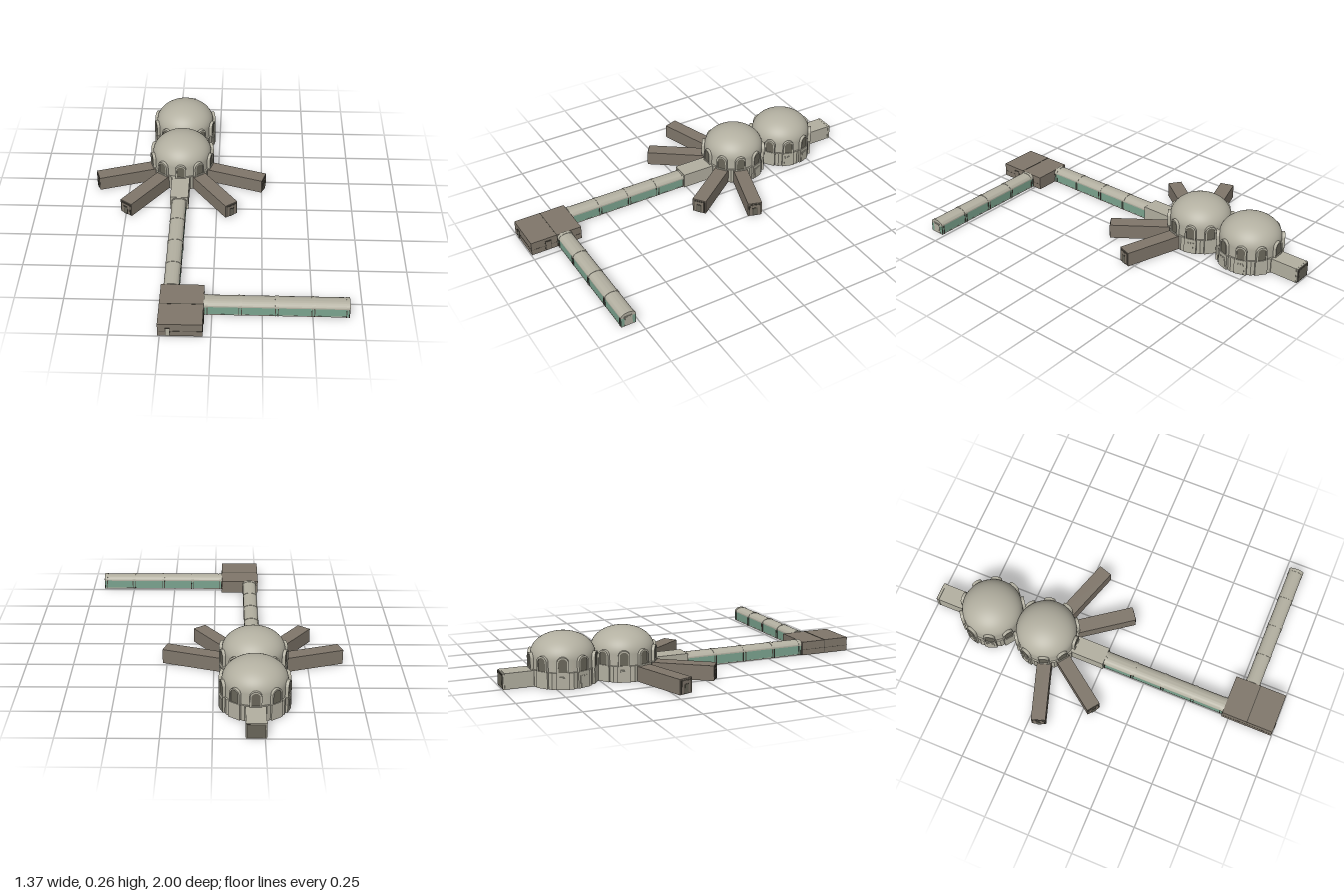
import * as THREE from 'three';
import { toCreasedNormals } from 'three/addons/utils/BufferGeometryUtils.js';

const mat = (name, color) => {
  const m = new THREE.MeshStandardMaterial({ color });
  m.name = name;
  return m;
};

export function createModel() {
  const plaster = mat('plaster', 0xb3b0a1);
  const brown = mat('brownWall', 0x80776b);
  const glass = mat('greenGlass', 0x7ba48f);
  const dark = mat('darkTrim', 0x4f4b42);
  const pane = mat('windowPane', 0x69665a);

  const root = new THREE.Group();
  root.name = 'domedStation';
  const CX = -0.208;

  const add = (parent, name, geo, material, x = 0, y = 0, z = 0) => {
    const m = new THREE.Mesh(geo, material);
    m.name = name;
    m.position.set(x, y, z);
    parent.add(m);
    return m;
  };
  const group = (parent, name, x = 0, y = 0, z = 0, ry = 0) => {
    const g = new THREE.Group();
    g.name = name;
    g.position.set(x, y, z);
    g.rotation.y = ry;
    parent.add(g);
    return g;
  };
  const box = (parent, name, w, h, d, material, x, y, z) =>
    add(parent, name, new THREE.BoxGeometry(w, h, d), material, x, y + h / 2, z);

  // Round-headed outline standing on y = y0
  const arch = (w, y0, y1, Type = THREE.Shape) => {
    const s = new Type();
    const r = w / 2;
    s.moveTo(-r, y0);
    s.lineTo(r, y0);
    s.lineTo(r, y1 - r);
    s.absarc(0, y1 - r, r, 0, Math.PI, false);
    s.lineTo(-r, y0);
    return s;
  };
  const extrude = (shape, depth) => toCreasedNormals(
    new THREE.ExtrudeGeometry(shape, { depth, bevelEnabled: false, curveSegments: 10 }), 0.6);

  // Framed door on a wall that faces local +z
  const door = (parent, x, z, ry, w, h, leaf, frame) => {
    const g = group(parent, 'door', x, 0, z, ry);
    box(g, 'doorFrame', w, h, 0.004, frame, 0, 0.003, 0);
    box(g, 'doorLeaf', w - 0.008, h - 0.005, 0.006, leaf, 0, 0.003, 0);
  };

  // Pieces shared by both ten-sided domes
  const frameShape = arch(0.06, 0, 0.082);
  frameShape.holes.push(arch(0.044, 0.004, 0.074, THREE.Path));
  const frameGeo = extrude(frameShape, 0.03);
  const paneGeo = extrude(arch(0.048, 0.002, 0.077), 0.02);
  const shellGeo = new THREE.SphereGeometry(0.166, 48, 20, 0, Math.PI * 2, 0, Math.PI / 2);
  shellGeo.scale(1, 0.114 / 0.166, 1);
  const drumGeo = new THREE.CylinderGeometry(0.177, 0.177, 0.083, 10, 1, false, Math.PI / 10).toNonIndexed();
  drumGeo.computeVertexNormals();
  const floorGeo = new THREE.CylinderGeometry(0.177, 0.177, 0.002, 10, 1, false, Math.PI / 10);

  const dome = (name, z, doorBays) => {
    const g = group(root, name, CX, 0, z);
    add(g, 'drumFloor', floorGeo, brown, 0, 0.001, 0);
    add(g, 'drum', drumGeo, plaster, 0, 0.0435, 0);
    add(g, 'upperWall', new THREE.CylinderGeometry(0.166, 0.166, 0.061, 48), plaster, 0, 0.1145, 0);
    add(g, 'domeShell', shellGeo, plaster, 0, 0.145, 0);
    for (let i = 0; i < 10; i++) {
      const bay = group(g, 'bay', 0, 0, 0, i * Math.PI / 5);
      add(bay, 'windowFrame', frameGeo, plaster, 0, 0.084, 0.15);
      add(bay, 'windowPane', paneGeo, pane, 0, 0.084, 0.155);
      box(bay, 'drumPanel', 0.068, 0.083, 0.02, plaster, 0, 0.001, 0.169);
      if (doorBays.includes(i)) door(bay, 0, 0.179, 0, 0.044, 0.064, plaster, plaster);
    }
  };
  dome('rearDome', -0.668, [2, 3, 7, 8]);
  dome('frontDome', -0.343, [3, 7]);
  box(root, 'domeLink', 0.12, 0.084, 0.12, plaster, CX, 0, -0.505);

  // Entrance wing at the back
  box(root, 'rearEntrance', 0.1, 0.083, 0.2, plaster, CX, 0, -0.896);
  box(root, 'entrancePlate', 0.09, 0.073, 0.004, dark, CX, 0.005, -0.997);
  box(root, 'entrancePane', 0.08, 0.066, 0.006, pane, CX, 0.007, -0.997);
  box(root, 'entranceTrim', 0.104, 0.084, 0.006, plaster, CX, 0, -0.985);

  // Passage in front of the front dome
  box(root, 'frontPassage', 0.1, 0.083, 0.2, plaster, CX, 0, -0.09);

  // Four brown wings radiating from the front dome
  for (const deg of [-72, -36, 36, 72]) {
    const wing = group(root, 'wing', CX, 0, -0.343, deg * Math.PI / 180);
    box(wing, 'wingBody', 0.078, 0.08, 0.387, brown, 0, 0, 0.3);
    box(wing, 'endPlate', 0.066, 0.068, 0.003, dark, 0, 0.006, 0.4945);
    box(wing, 'endPanel', 0.056, 0.062, 0.004, brown, 0, 0.006, 0.495);
    door(wing, 0, 0.496, 0, 0.028, 0.05, pane, dark);
  }

  // Glazed corridor running along local +z, made of four bays
  const vault = (hw, y0, y1, base) => {
    const s = new THREE.Shape();
    s.moveTo(-hw, base);
    s.lineTo(hw, base);
    s.lineTo(hw, y0);
    s.absellipse(0, y0, hw, y1 - y0, 0, Math.PI, false);
    s.lineTo(-hw, base);
    return s;
  };
  const roofShape = vault(0.0395, 0.057, 0.079, 0.052);
  const ribShape = vault(0.041, 0.058, 0.081, 0.051);
  const corridor = (name, x, z, ry, length) => {
    const g = group(root, name, x, 0, z, ry);
    box(g, 'floor', 0.078, 0.005, length, plaster, 0, 0, length / 2);
    box(g, 'glassWalls', 0.077, 0.048, length, glass, 0, 0.005, length / 2);
    add(g, 'vaultedRoof', extrude(roofShape, length), plaster);
    for (let i = 0; i <= 4; i++) {
      const rz = THREE.MathUtils.clamp(i * length / 4, 0.009, length - 0.009);
      add(g, 'roofRib', extrude(ribShape, 0.018), plaster, 0, 0, rz - 0.009);
      for (const sx of [-1, 1]) for (const sz of [-1, 1])
        box(g, 'ribPost', 0.003, 0.053, 0.004, dark, sx * 0.0395, 0, rz + sz * 0.007);
    }
    return g;
  };
  corridor('longCorridor', CX, 0, 0, 0.71);
  const side = corridor('sideCorridor', -0.04, 0.806, Math.PI / 2, 0.722);
  door(side, 0, 0.722, 0, 0.044, 0.058, plaster, plaster);

  // Corner block joining the corridors
  const hub = group(root, 'cornerBlock', -0.15, 0, 0);
  box(hub, 'hubBack', 0.22, 0.075, 0.139, brown, 0, 0, 0.779);
  box(hub, 'hubFront', 0.22, 0.076, 0.145, brown, 0, 0, 0.9235);
  box(hub, 'roofSeam', 0.22, 0.0755, 0.005, dark, 0, 0.001, 0.85);
  box(hub, 'wallSeam', 0.2212, 0.002, 0.287, dark, 0, 0.03, 0.8535);
  door(hub, -0.06, 0.997, 0, 0.024, 0.05, plaster, dark);
  door(hub, 0.11, 0.9, Math.PI / 2, 0.036, 0.056, brown, dark);

  return root;
}
